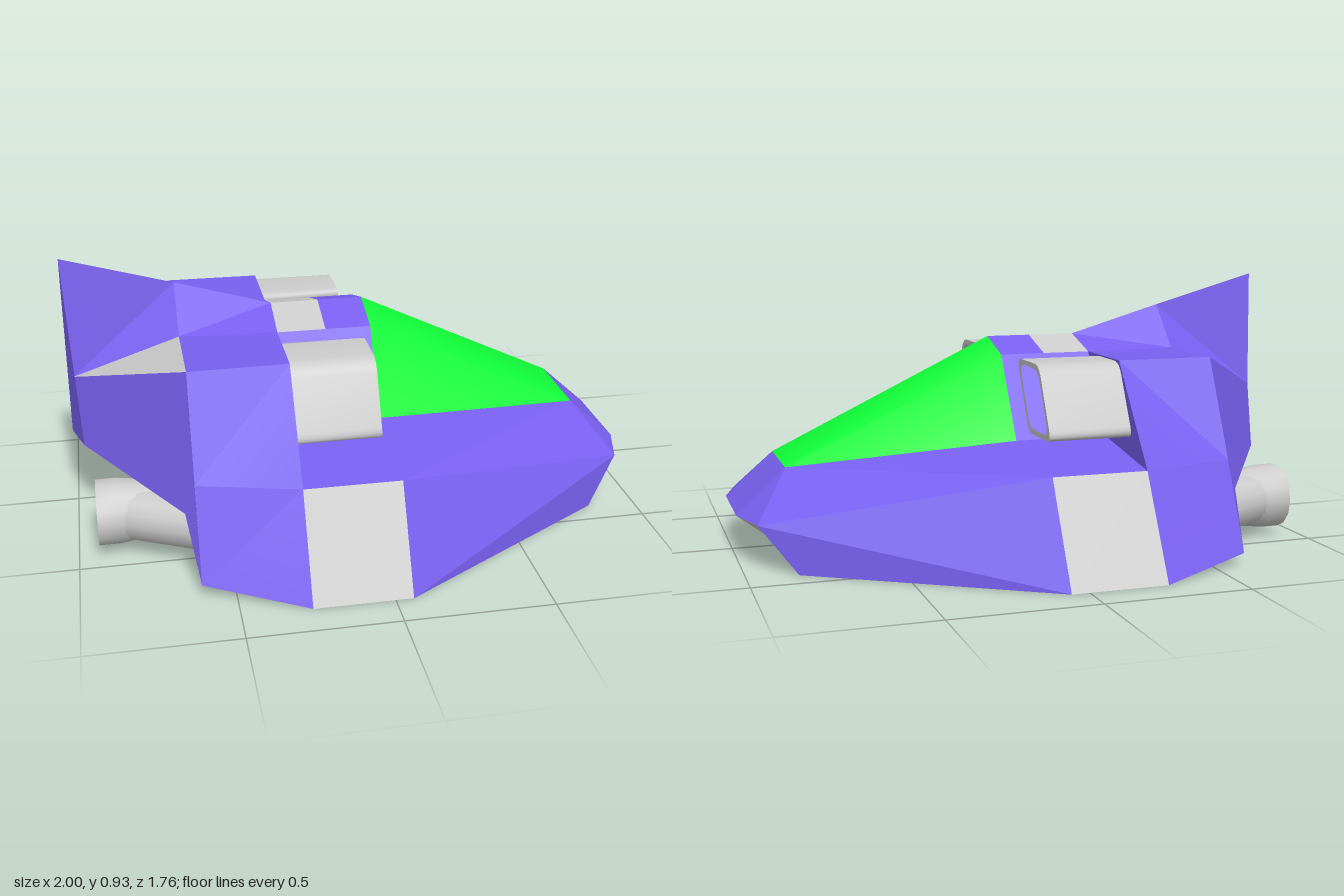
import * as THREE from 'three';
import { toCreasedNormals } from 'three/addons/utils/BufferGeometryUtils.js';

const PURPLE = 0x7860f0, GREEN = 0x10ff38, GREY = 0xcccccc, DARK = 0x222222;
const mat = (color, flatShading = false) => new THREE.MeshStandardMaterial({ color, flatShading });
const V = (x, y, z) => new THREE.Vector3(x, y, z);

// Mirrored panels: corners are given for the +z half, each triangle faces away from the inner point
function panels(name, color, polys, inner = V(-0.3, 0.4, 0), crease = 0.2) {
  const pos = [];
  for (const s of [1, -1]) {
    const flip = V(1, 1, s), c = inner.clone().multiply(flip);
    for (const poly of polys) {
      const p = poly.map(v => v.clone().multiply(flip));
      for (let i = 1; i < p.length - 1; i++) {
        const t = [p[0], p[i], p[i + 1]];
        const n = t[1].clone().sub(t[0]).cross(t[2].clone().sub(t[0]));
        if (n.dot(t[0].clone().sub(c)) < 0) t.reverse();
        t.forEach(v => pos.push(v.x, v.y, v.z));
      }
    }
  }
  const g = new THREE.BufferGeometry();
  g.setAttribute('position', new THREE.Float32BufferAttribute(pos, 3));
  g.computeVertexNormals();
  const m = new THREE.Mesh(toCreasedNormals(g, crease), mat(color));
  m.name = name;
  return m;
}

// Slanted opening with rounded corners; inset shrinks it evenly
function intakeOutline(s, inset, Target = THREE.Shape) {
  const k = inset, r = 0.045;
  const c = [[0.225 + 1.6 * k, 0.665 - k], [0.45 - 0.6 * k, 0.665 - k],
    [0.575 - 1.6 * k, 0.42 + k], [0.35 + 0.6 * k, 0.42 + k]]
    .map(([z, y]) => new THREE.Vector2(-z * s, y));
  const path = new Target();
  c.forEach((p, i) => {
    const toward = q => p.clone().add(q.clone().sub(p).setLength(r));
    const a = toward(c[(i + 3) % 4]), b = toward(c[(i + 1) % 4]);
    if (i === 0) path.moveTo(a.x, a.y); else path.lineTo(a.x, a.y);
    path.quadraticCurveTo(p.x, p.y, b.x, b.y);
  });
  path.closePath();
  return path;
}

function intake(s) {
  const g = new THREE.Group();
  g.name = s > 0 ? 'intakePositiveSide' : 'intakeNegativeSide';
  const shape = intakeOutline(s, 0);
  shape.holes.push(intakeOutline(s, 0.018, THREE.Path));
  const shell = new THREE.Mesh(toCreasedNormals(new THREE.ExtrudeGeometry(shape,
    { depth: 0.29, bevelEnabled: false, curveSegments: 5 }), 0.6), mat(GREY));
  shell.name = 'intakeShell';
  const back = new THREE.Mesh(new THREE.ShapeGeometry(intakeOutline(s, 0.01), 5), mat(GREY));
  back.name = 'intakeBack';
  back.position.z = 0.12;
  g.add(shell, back);
  g.rotation.y = Math.PI / 2;
  g.position.x = -0.27;
  return g;
}

function engine(s) {
  const g = new THREE.Group();
  g.name = s > 0 ? 'enginePositiveSide' : 'engineNegativeSide';
  const lathe = (name, pts, color) => {
    const geo = new THREE.LatheGeometry(pts.map(p => new THREE.Vector2(...p)), 14);
    const m = new THREE.Mesh(toCreasedNormals(geo.toNonIndexed(), 0.7), mat(color));
    m.name = name;
    m.rotation.z = Math.PI / 2;
    m.position.set(0, 0.14, 0.37 * s);
    g.add(m);
  };
  lathe('nozzle', [[0.108, 0.45], [0.106, 0.8], [0.114, 0.86], [0.114, 0.93], [0.092, 0.93]], GREY);
  lathe('nozzleInside', [[0.092, 0.93], [0.08, 0.78], [0, 0.78]], DARK);
  // Fairing splaying outward from the nozzle into the hull
  const a = V(-0.84, 0.14, 0.38 * s), b = V(-0.55, 0.14, 0.52 * s);
  const f = new THREE.Mesh(new THREE.CylinderGeometry(0.095, 0.09, a.distanceTo(b), 14), mat(GREY));
  f.name = 'engineFairing';
  f.position.copy(a).add(b).multiplyScalar(0.5);
  f.quaternion.setFromUnitVectors(V(0, 1, 0), b.clone().sub(a).normalize());
  g.add(f);
  return g;
}

export function createModel() {
  const group = new THREE.Group();

  // Cross-section at the canopy frame
  const ridge = V(0.06, 0.72, 0), roof = V(0.06, 0.67, 0.165), sill = V(0.06, 0.39, 0.335);
  const shoulder = V(0.06, 0.335, 0.70), keel = V(0.06, 0, 0.88);
  // The same section moved back along the ship
  const at = (v, x) => V(x, v.y, v.z);
  const X = -0.27, ridgeB = at(ridge, X), roofB = at(roof, X), sillB = at(sill, X);
  const shoulderB = at(shoulder, X), keelB = at(keel, X), topB = V(X, 0.67, 0.45);
  const ridgeM = at(ridge, -0.1), roofM = at(roof, -0.1);
  // Nose
  const glassTip = V(0.83, 0.31, 0.155), glassMid = V(0.83, 0.31, 0);
  const tip = V(1, 0.155, 0.16), tipMid = V(1, 0.155, 0);
  const cheek = V(0.95, 0.155, 0.325), chin = V(0.83, 0, 0.405), chinMid = V(0.83, 0, 0);
  // Rear section and tail
  const finMid = V(-0.61, 0.82, 0), finTop = V(-1, 0.93, 0), finFoot = V(-0.61, 0.67, 0.14);
  const topR = V(-0.61, 0.67, 0.455), shoulderR = V(-0.61, 0.335, 0.61), keelR = V(-0.61, 0.04, 0.74);
  const tailHigh = V(-0.98, 0.51, 0.05), tailLow = V(-0.96, 0.28, 0.13), tail = V(-1, 0.28, 0);
  const hip = V(-0.645, 0.23, 0.60), hipMid = V(-0.645, 0.24, 0), keelMid = V(-0.61, 0.04, 0);

  group.add(
    panels('canopy', GREEN, [
      [ridge, roof, glassTip, glassMid], [roof, sill, glassTip],
    ], undefined, 0.75),
    panels('noseHull', PURPLE, [
      [sill, glassTip, shoulder], [glassTip, cheek, shoulder],
      [glassTip, tip, cheek], [glassMid, glassTip, tip, tipMid],
      [keel, chin, cheek, shoulder],
    ]),
    panels('midHull', PURPLE, [
      [ridge, roof, roofM, ridgeM], [roof, sill, sillB, roofB],
      [sill, shoulder, shoulderB, sillB],
    ]),
    panels('sidePlate', GREY, [[keel, shoulder, shoulderB, keelB]]),
    panels('roofPlate', GREY, [[ridgeM, roofM, roofB, ridgeB]]),
    panels('bulkhead', PURPLE, [[roofB, topB, shoulderB, sillB]], V(-0.5, 0.4, 0.3)),
    panels('rearHull', PURPLE, [
      [roofB, topB, topR, finFoot], [topB, shoulderB, shoulderR, topR],
      [shoulderB, keelB, keelR, shoulderR],
    ]),
    panels('fin', PURPLE, [
      [ridgeB, roofB, finFoot, finMid], [finMid, finFoot, tailHigh], [finMid, tailHigh, finTop],
      [finTop, tailHigh, tailLow], [finTop, tailLow, tail],
    ]),
    panels('tailDeck', GREY, [[topR, finFoot, tailHigh]]),
    panels('tailHull', PURPLE, [
      [topR, tailHigh, tailLow, hip], [topR, hip, keelR],
      [tail, tailLow, hip, hipMid], [hip, keelR, keelMid, hipMid],
    ]),
    panels('belly', GREY, [
      [chinMid, chin, keel, keelB, V(X, 0, 0)], [V(X, 0, 0), keelB, keelR, keelMid],
      [chinMid, chin, cheek, tip, tipMid],
    ]),
  );
  for (const s of [1, -1]) group.add(intake(s), engine(s));
  return group;
}
